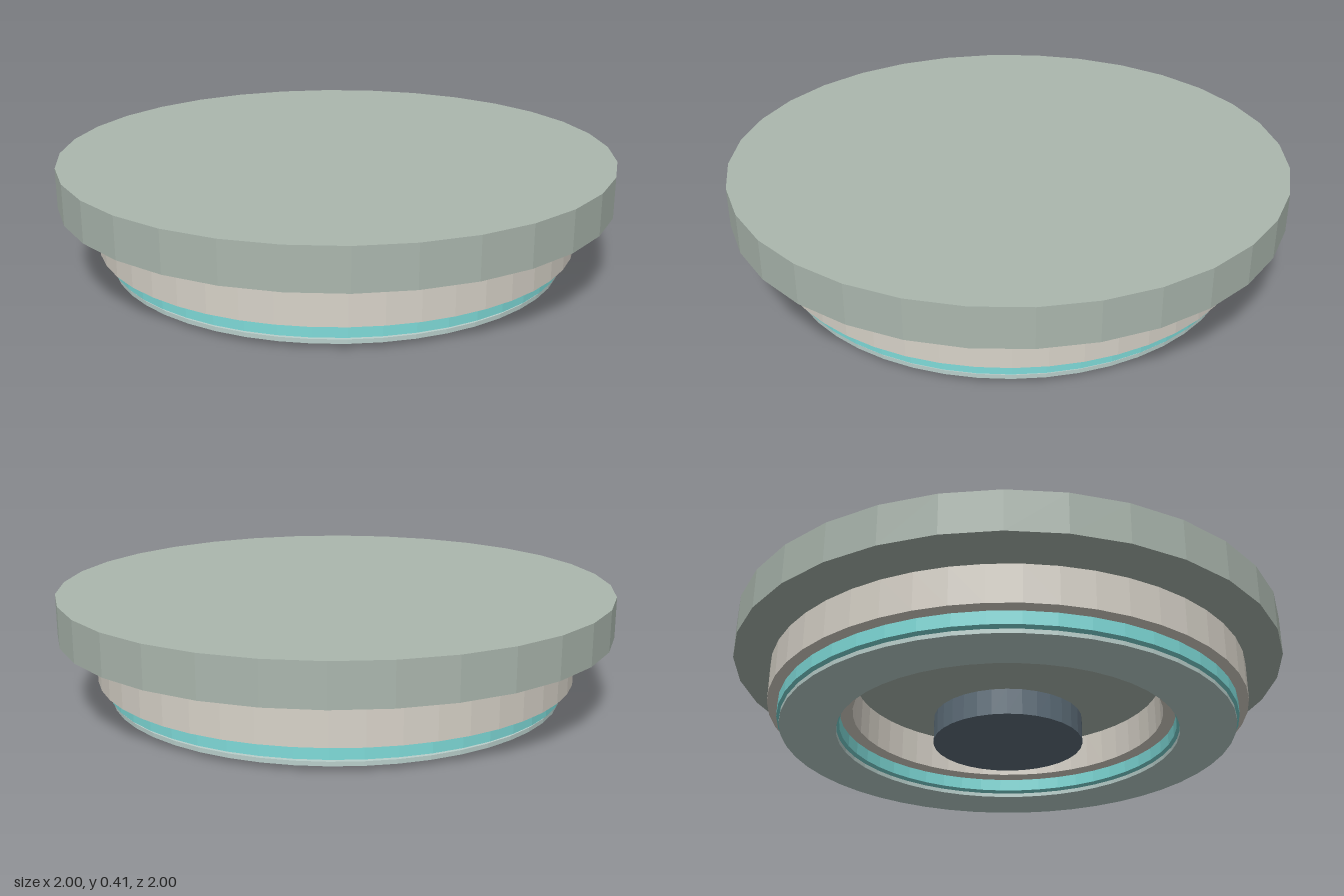
import * as THREE from 'three';

function material(name, color) {
  const m = new THREE.MeshStandardMaterial({ color, flatShading: true });
  m.name = name;
  return m;
}

// Solid disc between two heights
function disc(name, radius, y0, y1, mat) {
  const geometry = new THREE.CylinderGeometry(radius, radius, y1 - y0, 32);
  geometry.translate(0, (y0 + y1) / 2, 0);
  const mesh = new THREE.Mesh(geometry, mat);
  mesh.name = name;
  return mesh;
}

// Ring with a rectangular section, lathed from a closed profile
function ring(name, inner, outer, y0, y1, mat) {
  const profile = [[inner, y0], [outer, y0], [outer, y1], [inner, y1], [inner, y0]]
    .map(([r, y]) => new THREE.Vector2(r, y));
  const mesh = new THREE.Mesh(new THREE.LatheGeometry(profile, 48), mat);
  mesh.name = name;
  return mesh;
}

export function createModel() {
  const sage = material('sage', 0xabb7ae);
  const ivory = material('ivory', 0xd8d3c9);
  const teal = material('teal', 0x7fdbd9);
  const paleGreen = material('paleGreen', 0xb9cfcb);
  const slate = material('slate', 0x5f6f7b);

  const model = new THREE.Group();
  model.name = 'layeredDisc';
  model.add(
    // Wide cover on top
    disc('topPlate', 1, 0.26, 0.405, sage),
    // Stack of separate rings below it
    ring('mainRing', 0.565, 0.867, 0.095, 0.23, ivory),
    ring('glowRing', 0.61, 0.83, 0.043, 0.089, teal),
    ring('baseRing', 0.62, 0.82, 0.018, 0.033, paleGreen),
    // Hub in the middle of the rings
    disc('centreHub', 0.27, 0, 0.094, slate),
  );
  return model;
}
